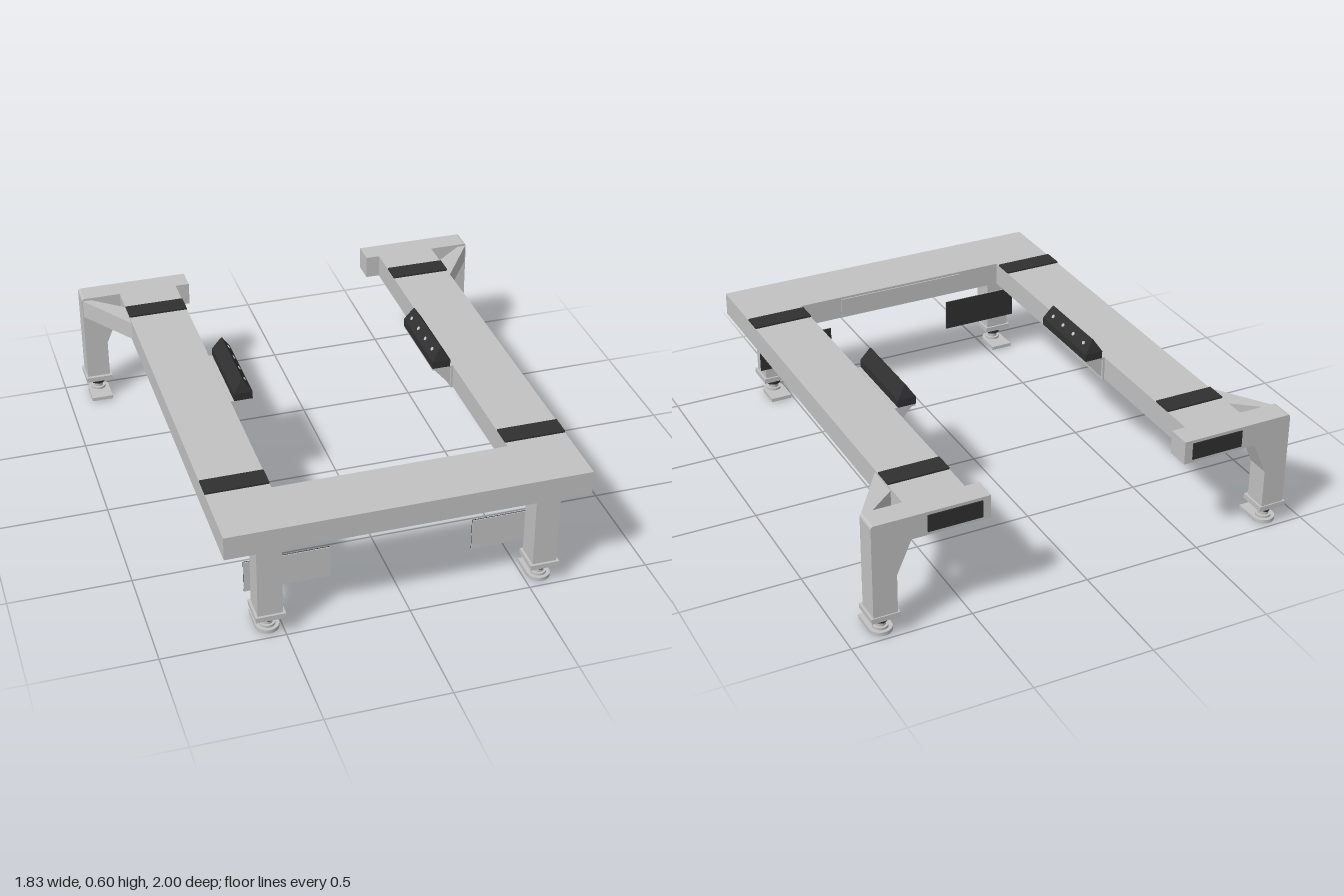
import * as THREE from 'three';
import { ConvexGeometry } from 'three/addons/geometries/ConvexGeometry.js';

const mat = (name, color) => new THREE.MeshStandardMaterial({ name, color });

export function createModel() {
  const root = new THREE.Group();
  root.name = 'supportFrame';
  const steel = mat('light grey steel', 0xc2c2c2);
  const rubber = mat('dark rubber', 0x303030);

  const add = (name, geo, material, parent = root) => {
    const m = new THREE.Mesh(geo, material);
    m.name = name;
    parent.add(m);
    return m;
  };
  // Box from its minimum and maximum on each axis, x mirrored by s
  const box = (name, s, x, y, z, material, parent) => {
    const m = add(name, new THREE.BoxGeometry(x[1] - x[0], y[1] - y[0], z[1] - z[0]), material, parent);
    m.position.set(s * (x[0] + x[1]) / 2, (y[0] + y[1]) / 2, (z[0] + z[1]) / 2);
    return m;
  };
  const shapeOf = pts => new THREE.Shape(pts.map(p => new THREE.Vector2(p[0], p[1])));
  const extrude = (shape, depth) =>
    new THREE.ExtrudeGeometry(shape, { depth, bevelEnabled: false, curveSegments: 16 });
  // Plan outline given as x, z pairs, raised from y0 to y1
  const slab = (pts, y0, y1) =>
    extrude(shapeOf(pts.map(([x, z]) => [x, -z])), y1 - y0).rotateX(-Math.PI / 2).translate(0, y0, 0);

  // U-shaped deck: two rails and the front beam
  add('deckFrame', slab([
    [-0.735, 1], [0.735, 1], [0.735, -0.896], [0.48, -0.896],
    [0.48, 0.738], [-0.48, 0.738], [-0.48, -0.896], [-0.735, -0.896],
  ], 0.41, 0.51), steel);
  box('beamInnerPlate', 1, [-0.29, 0.29], [0.42, 0.5], [0.733, 0.738], steel);

  // Levelling foot with a toe pointing to the centre of the frame
  function levellingFoot(x, z, toe) {
    const g = new THREE.Group();
    g.name = 'levellingFoot';
    g.position.set(x, 0, z);
    root.add(g);
    const r = 0.047;
    const plan = new THREE.Shape();
    plan.moveTo(r, 0.1);
    plan.lineTo(-r, 0.1);
    plan.lineTo(-r, 0);
    plan.absarc(0, 0, r, Math.PI, Math.PI * 2, false);
    const sole = extrude(plan, 0.016).rotateX(-Math.PI / 2);
    if (toe > 0) sole.rotateY(Math.PI);
    add('footPlate', sole.translate(0, 0.006, 0), steel, g);
    const disc = (name, rad, y0, y1, sides, m) =>
      add(name, new THREE.CylinderGeometry(rad, rad, y1 - y0, sides), m, g).position.y = (y0 + y1) / 2;
    disc('footPad', 0.024, 0, 0.006, 24, rubber);
    disc('footSocket', 0.032, 0.022, 0.032, 24, steel);
    disc('footSpindle', 0.022, 0.03, 0.088, 24, steel);
    disc('lockNut', 0.031, 0.05, 0.066, 6, rubber);
  }

  for (const s of [1, -1]) {
    // Front leg
    box('frontLeg', s, [0.51, 0.61], [0.1, 0.41], [0.885, 0.99], steel);
    box('frontLegPlate', s, [0.5, 0.62], [0.083, 0.105], [0.877, 1], steel);
    levellingFoot(s * 0.56, 0.935, -1);

    // Sign panel behind the front leg: steel face, dark back
    box('panelFace', s, [0.29, 0.635], [0.153, 0.29], [0.881, 0.885], steel);
    box('panelBack', s, [0.29, 0.635], [0.153, 0.29], [0.877, 0.881], rubber);

    // Rear crosshead, leg and gusset in one outline, rounded at the outer top
    const rear = shapeOf([
      [0.42, 0.41], [0.745, 0.41], [0.806, 0.27], [0.806, 0.1], [0.906, 0.1],
      [0.906, 0.5], [0.903, 0.507], [0.896, 0.51], [0.42, 0.51],
    ].map(([x, y]) => [s * x, y]));
    add('rearCrossheadLeg', extrude(rear, 0.1).translate(0, 0, -0.995), steel);
    box('rearLegPlate', s, [0.797, 0.915], [0.083, 0.105], [-1, -0.88], steel);
    levellingFoot(s * 0.856, -0.94, 1);
    box('rearPad', s, [0.455, 0.68], [0.425, 0.497], [-1, -0.995], rubber);

    // Diagonal brace between rail and crosshead
    add('diagonalBrace', slab([
      [0.735, -0.645], [0.903, -0.895], [0.865, -0.895], [0.735, -0.79],
    ].map(([x, z]) => [s * x, z]), 0.42, 0.5), steel);

    // Grip strips across the rail
    for (const z of [-0.72, 0.668])
      box('gripStrip', s, [0.48, 0.735], [0.51, 0.517], [z - 0.045, z + 0.045], rubber);

    // Guide bracket: wall plate, shelf and triangular gussets
    box('bracketWall', s, [0.472, 0.48], [0.405, 0.51], [-0.262, 0.112], steel);
    box('bracketShelf', s, [0.39, 0.48], [0.503, 0.512], [-0.262, 0.112], steel);
    for (const z of [-0.25, 0.092]) {
      const tri = shapeOf([[s * 0.395, 0.503], [s * 0.472, 0.503], [s * 0.472, 0.415]]);
      add('bracketGusset', extrude(tri, 0.008).translate(0, 0, z), steel);
    }

    // Ridge-shaped guide block with chamfered ends
    const pts = [];
    for (const e of [-1, 1]) {
      const end = d => -0.075 + e * (0.188 - d);
      for (const x of [0.388, 0.466])
        pts.push(new THREE.Vector3(s * x, 0.512, end(0)), new THREE.Vector3(s * x, 0.545, end(0)));
      for (const x of [0.424, 0.43])
        pts.push(new THREE.Vector3(s * x, 0.6, end(0.016)));
    }
    add('guideBlock', new ConvexGeometry(pts), rubber);

    // Screws on the inner slope of the guide
    for (let i = 0; i < 4; i++) {
      const screw = add('guideScrew', new THREE.CylinderGeometry(0.008, 0.008, 0.006, 12), steel);
      screw.position.set(s * 0.406, 0.573, -0.21 + i * 0.088);
      screw.rotation.z = s * 0.99;
    }
  }
  return root;
}
